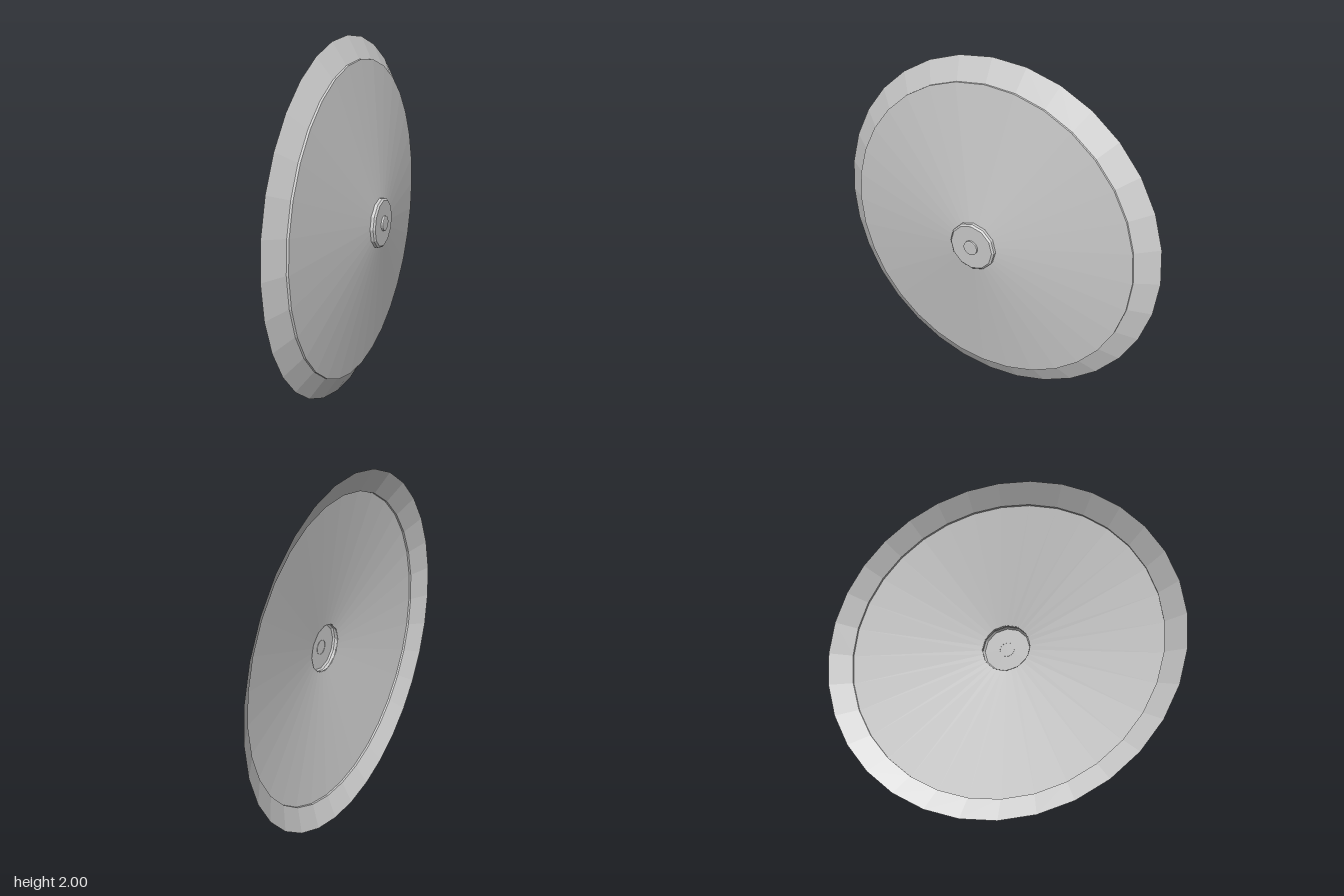
import * as THREE from 'three';

const material = new THREE.MeshStandardMaterial({
  color: 0xcccccc, flatShading: true, side: THREE.DoubleSide,
});

// Revolve [radius, x] pairs about the x axis, centred at height 1.
function revolve(name, profile, sides) {
  const points = profile.map(([r, x]) => new THREE.Vector2(r, x));
  const geometry = new THREE.LatheGeometry(points, sides);
  geometry.rotateZ(-Math.PI / 2);
  geometry.translate(0, 1, 0);
  const mesh = new THREE.Mesh(geometry, material);
  mesh.name = name;
  return mesh;
}

export function createModel() {
  const shield = new THREE.Group();
  shield.name = 'roundShield';

  // Sloping outer band, open at the back
  shield.add(revolve('rim', [[1, -0.11], [0.88, -0.045]], 32));

  // Shallow conical face with a small step at the rim, pierced in the middle
  shield.add(revolve('dish', [[0.88, -0.045], [0.88, -0.033], [0.135, 0.071]], 32));

  // Hollow bevelled cap closing the centre hole
  shield.add(revolve('boss', [[0.14, 0.068], [0.14, 0.088], [0.13, 0.097], [0, 0.097]], 12));

  // Small stud on the cap
  shield.add(revolve('stud', [[0.042, 0.095], [0.042, 0.108], [0.038, 0.11], [0, 0.11]], 16));

  return shield;
}
